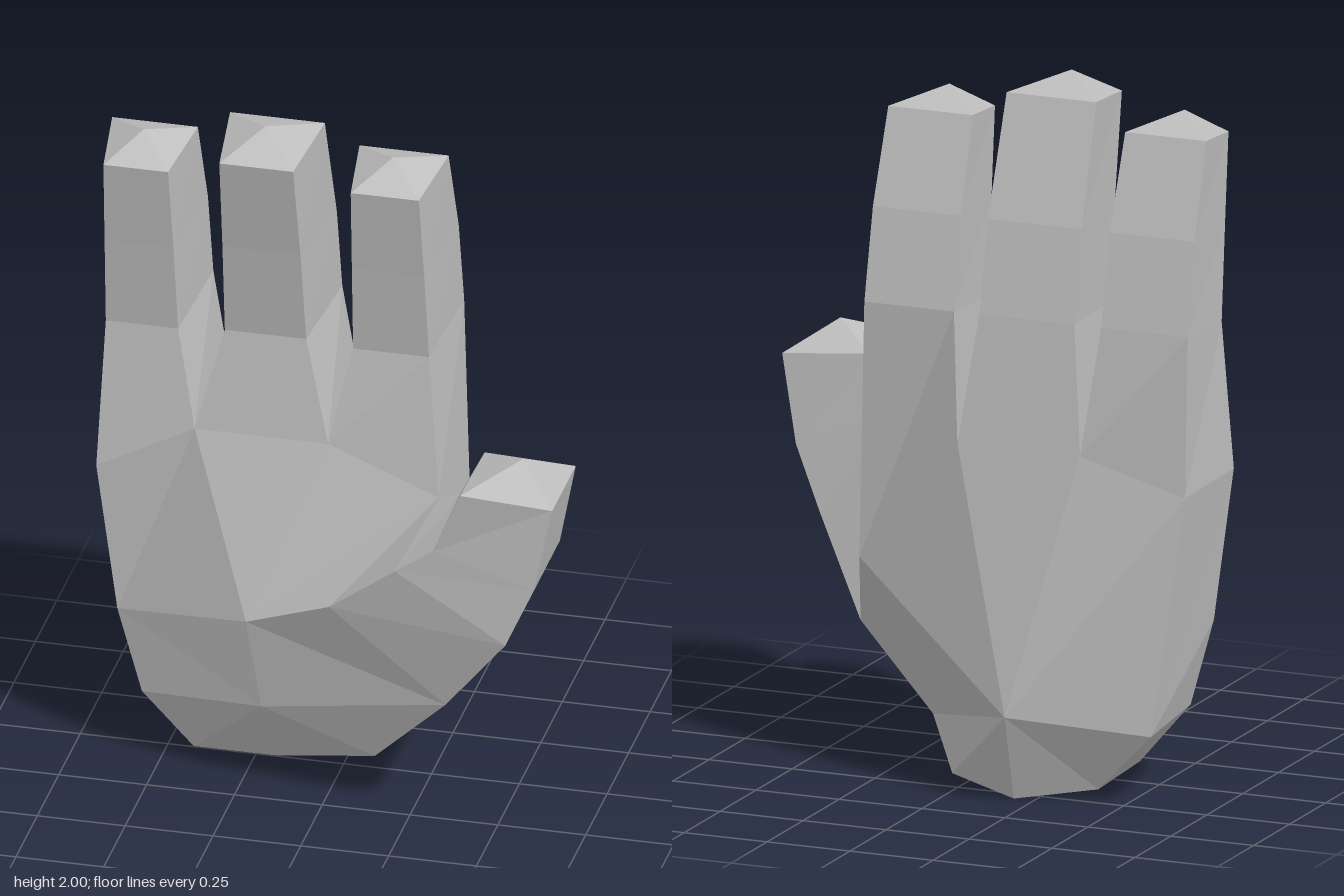
import * as THREE from 'three';

const skin = new THREE.MeshStandardMaterial({ color: 0xbcbcbc });
skin.name = 'grey skin';

// Faceted mesh from polygons, each fanned from its first corner
function facets(name, polygons) {
  const pos = [];
  for (const p of polygons)
    for (let i = 1; i < p.length - 1; i++) pos.push(...p[0], ...p[i], ...p[i + 1]);
  const geo = new THREE.BufferGeometry();
  geo.setAttribute('position', new THREE.Float32BufferAttribute(pos, 3));
  geo.computeVertexNormals(); // unshared corners keep every facet flat
  const mesh = new THREE.Mesh(geo, skin);
  mesh.name = name;
  return mesh;
}

// Four-sided finger: rings run front-left, front-right, back-right, back-left
function finger(name, base, x, wide, lift, forward) {
  const ring = (wf, yf, zf, wb, yb, zb) => [
    [x - wf, yf, zf], [x + wf, yf, zf], [x + wb, yb, zb], [x - wb, yb, zb]];
  const rings = [
    base,
    ring(0.103 + wide, 1.33 + lift * 0.25, 0.05 + forward * 0.2, 0.13 + wide, 1.36, -0.25),
    ring(0.098 + wide, 1.6 + lift * 0.5, 0.085 + forward * 0.5, 0.128 + wide, 1.62, -0.195),
    ring(0.092 + wide, 1.855 + lift, 0.123 + forward, 0.122 + wide, 1.885 + lift, -0.102 + forward * 0.5),
  ];
  const tip = [x, 1.93 + lift, 0.03 + forward * 0.7];
  const faces = [];
  for (let r = 0; r < 3; r++)
    for (let i = 0; i < 4; i++) {
      const j = (i + 1) % 4;
      faces.push([rings[r][i], rings[r][j], rings[r + 1][j], rings[r + 1][i]]);
    }
  for (let i = 0; i < 4; i++) faces.push([rings[3][i], rings[3][(i + 1) % 4], tip]);
  return facets(name, faces);
}

export function createModel() {
  const hand = new THREE.Group();
  hand.name = 'hand';

  // Knuckle line: front and back corners where the fingers meet the palm
  const sideFront = [-0.68, 0.9, 0.1], sideBack = [-0.687, 0.9, -0.255];
  const gapAFront = [-0.4, 1.05, 0.1], gapABack = [-0.39, 1.0, -0.3];
  const gapBFront = [-0.02, 1.05, 0.1], gapBBack = [-0.02, 1.0, -0.3];
  const web = [0.29, 0.91, 0.08], indexBack = [0.31, 0.62, -0.22];

  // Palm, heel and wrist corners
  const crease = [-0.22, 0.54, 0.24], heel = [-0.18, 0.27, 0.22];
  const edgeMid = [-0.62, 0.46, 0.1], edgeLow = [-0.55, 0.21, 0.1], edgeLowBack = [-0.59, 0.21, -0.27];
  const ridge = [-0.21, 0.26, -0.41];
  const wristFront = [-0.18, 0.04, 0.07], wristRight = [-0.41, 0.04, 0.07];
  const wristRightBack = [-0.41, 0.03, -0.22], wristBack = [-0.19, 0, -0.3], wristLeft = [0.03, 0.03, -0.22];

  // Thumb corners: inner front, outer front, then the back edges
  const in1 = [0.04, 0.67, 0.34], in2 = [0.24, 0.83, 0.385], in3 = [0.35, 0.91, 0.39], inTop = [0.43, 1.1, 0.405];
  const out0 = [0.14, 0.15, 0.21], out1 = [0.37, 0.4, 0.33], out2 = [0.56, 0.65, 0.41];
  const out3 = [0.64, 0.83, 0.405], outTop = [0.69, 1.08, 0.395];
  const back0 = [0.14, 0.16, -0.1], back1 = [0.38, 0.39, -0.05], back2 = [0.56, 0.65, 0.08];
  const back3 = [0.64, 0.83, 0.1], backTop = [0.69, 1.08, 0.12];
  const inBack = [0.36, 0.95, 0.12], inBackTop = [0.435, 1.1, 0.138];
  const thumbTip = [0.575, 1.16, 0.26];

  // Back of the hand fans out from the ridge
  const rim = [edgeLowBack, sideBack, gapABack, gapBBack, indexBack, back1, back0,
    wristLeft, wristBack, wristRightBack];
  const backFan = rim.map((p, i) => [ridge, p, rim[(i + 1) % rim.length]]);

  hand.add(facets('palm', [
    // front
    [sideFront, edgeMid, gapAFront], [edgeMid, crease, gapAFront],
    [crease, gapBFront, gapAFront], [crease, web, gapBFront],
    [edgeMid, heel, crease], [edgeMid, edgeLow, heel],
    [edgeLow, wristRight, heel], [wristRight, wristFront, heel], [wristFront, out0, heel],
    // outer edge and index side
    [edgeLowBack, edgeLow, edgeMid, sideFront, sideBack],
    [edgeLowBack, wristRightBack, wristRight, edgeLow],
    [back1, indexBack, web],
    // underside
    [wristRight, wristRightBack, wristBack], [wristRight, wristBack, wristFront],
    [wristFront, wristBack, wristLeft], [wristFront, wristLeft, out0], [out0, wristLeft, back0],
    ...backFan,
  ]));

  hand.add(facets('thumb', [
    // front
    [heel, out0, out1], [heel, out1, crease], [crease, out1, in1], [in1, out1, out2],
    [in1, out2, in2], [in2, out2, out3], [in2, out3, in3], [in3, out3, outTop, inTop],
    // inner side and web
    [crease, in1, web], [in1, in2, web], [in2, in3, inBack, web], [in3, inTop, inBackTop, inBack],
    // outer side
    [out0, back0, back1, out1], [out1, back1, back2, out2],
    [out2, back2, back3, out3], [out3, back3, backTop, outTop],
    // back
    [back1, web, back2], [back2, web, inBack, back3], [back3, inBack, inBackTop, backTop],
    // tip
    [inTop, outTop, thumbTip], [outTop, backTop, thumbTip],
    [backTop, inBackTop, thumbTip], [inBackTop, inTop, thumbTip],
  ]));

  hand.add(
    finger('outerFinger', [sideFront, gapAFront, gapABack, sideBack], -0.562, 0, 0, 0),
    finger('middleFinger', [gapAFront, gapBFront, gapBBack, gapABack], -0.208, 0.013, 0.07, 0.045),
    finger('indexFinger', [gapBFront, web, indexBack, gapBBack], 0.147, 0.005, 0, 0),
  );
  return hand;
}
